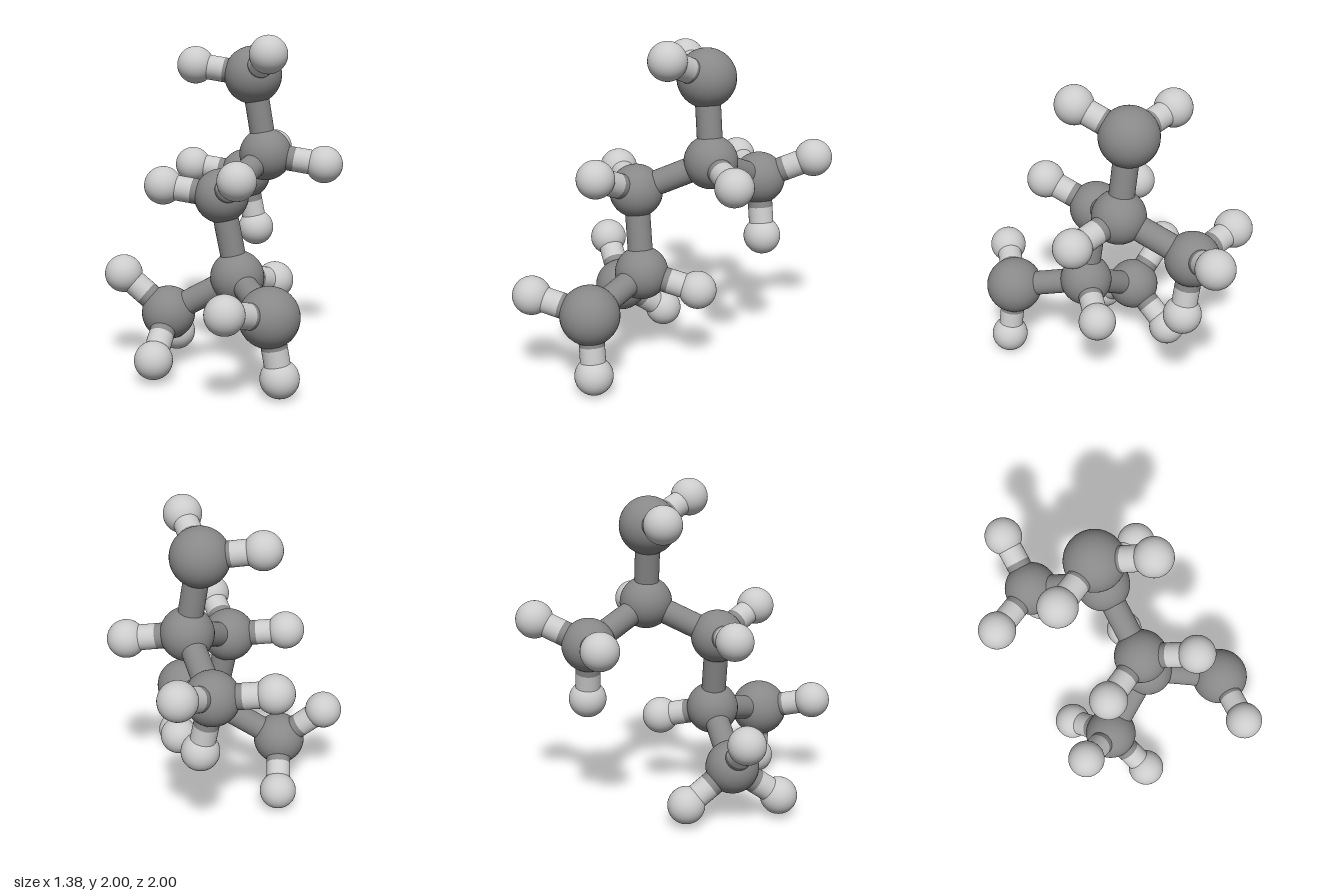
import * as THREE from 'three';

const BOND_RADIUS = 0.075;

// kinds of ball: radius and material
const dark = new THREE.MeshStandardMaterial({ color: 0x888888 });
const light = new THREE.MeshStandardMaterial({ color: 0xcccccc });
const KINDS = {
  largeBall: { radius: 0.175, material: dark },
  mediumBall: { radius: 0.16, material: dark },
  smallBall: { radius: 0.113, material: light },
};

// core balls, each with the positions of the small balls attached to it
const CORE = {
  top: { kind: 'largeBall', at: [0.135, 1.745, -0.197], small: [[-0.22, 1.8, -0.197], [0.275, 1.887, 0.093]] },
  upper: { kind: 'mediumBall', at: [0.215, 1.263, -0.197], small: [[0.575, 1.21, -0.197]] },
  back: { kind: 'mediumBall', at: [0.02, 1.07, -0.593], small: [[0.165, 1.21, -0.887], [-0.33, 1.12, -0.593], [0.09, 0.717, -0.593]] },
  middle: { kind: 'mediumBall', at: [0.02, 1.07, 0.2], small: [[0.165, 1.21, 0.49], [-0.33, 1.12, 0.2]] },
  lower: { kind: 'mediumBall', at: [0.115, 0.585, 0.2], small: [[0.295, 0.502, -0.09]] },
  front: { kind: 'largeBall', at: [0.37, 0.47, 0.597], small: [[0.175, 0.557, 0.887], [0.432, 0.117, 0.597]] },
  foot: { kind: 'mediumBall', at: [-0.305, 0.345, 0.2], small: [[-0.58, 0.573, 0.2], [-0.325, 0.138, 0.49], [-0.325, 0.138, -0.09]] },
};

const LINKS = [
  ['top', 'upper'], ['upper', 'middle'], ['upper', 'back'],
  ['middle', 'lower'], ['lower', 'front'], ['lower', 'foot'],
];

function ball(kind, at, name) {
  const { radius, material } = KINDS[kind];
  const mesh = new THREE.Mesh(new THREE.SphereGeometry(radius, 40, 28), material);
  mesh.position.copy(at);
  mesh.name = name;
  return mesh;
}

// straight rod from a to b
function rod(a, b, material, name) {
  const dir = b.clone().sub(a);
  const mesh = new THREE.Mesh(
    new THREE.CylinderGeometry(BOND_RADIUS, BOND_RADIUS, dir.length(), 32, 1, true), material);
  mesh.position.copy(a).lerp(b, 0.5);
  mesh.quaternion.setFromUnitVectors(new THREE.Vector3(0, 1, 0), dir.normalize());
  mesh.name = name;
  return mesh;
}

export function createModel() {
  const model = new THREE.Group();
  model.name = 'ballAndStickModel';

  for (const [name, { kind, at, small }] of Object.entries(CORE)) {
    const cluster = new THREE.Group();
    cluster.name = name + 'Cluster';
    const centre = new THREE.Vector3(...at);
    cluster.add(ball(kind, centre, name + 'Ball'));

    // small balls on two-tone rods, split halfway
    small.forEach((p, i) => {
      const end = new THREE.Vector3(...p);
      const mid = centre.clone().lerp(end, 0.5);
      cluster.add(
        ball('smallBall', end, `${name}SmallBall${i + 1}`),
        rod(centre, mid, dark, `${name}InnerRod${i + 1}`),
        rod(mid, end, light, `${name}OuterRod${i + 1}`));
    });
    model.add(cluster);
  }

  // rods joining the core balls
  for (const [a, b] of LINKS) {
    model.add(rod(new THREE.Vector3(...CORE[a].at), new THREE.Vector3(...CORE[b].at), dark, `${a}To${b}Rod`));
  }
  return model;
}
